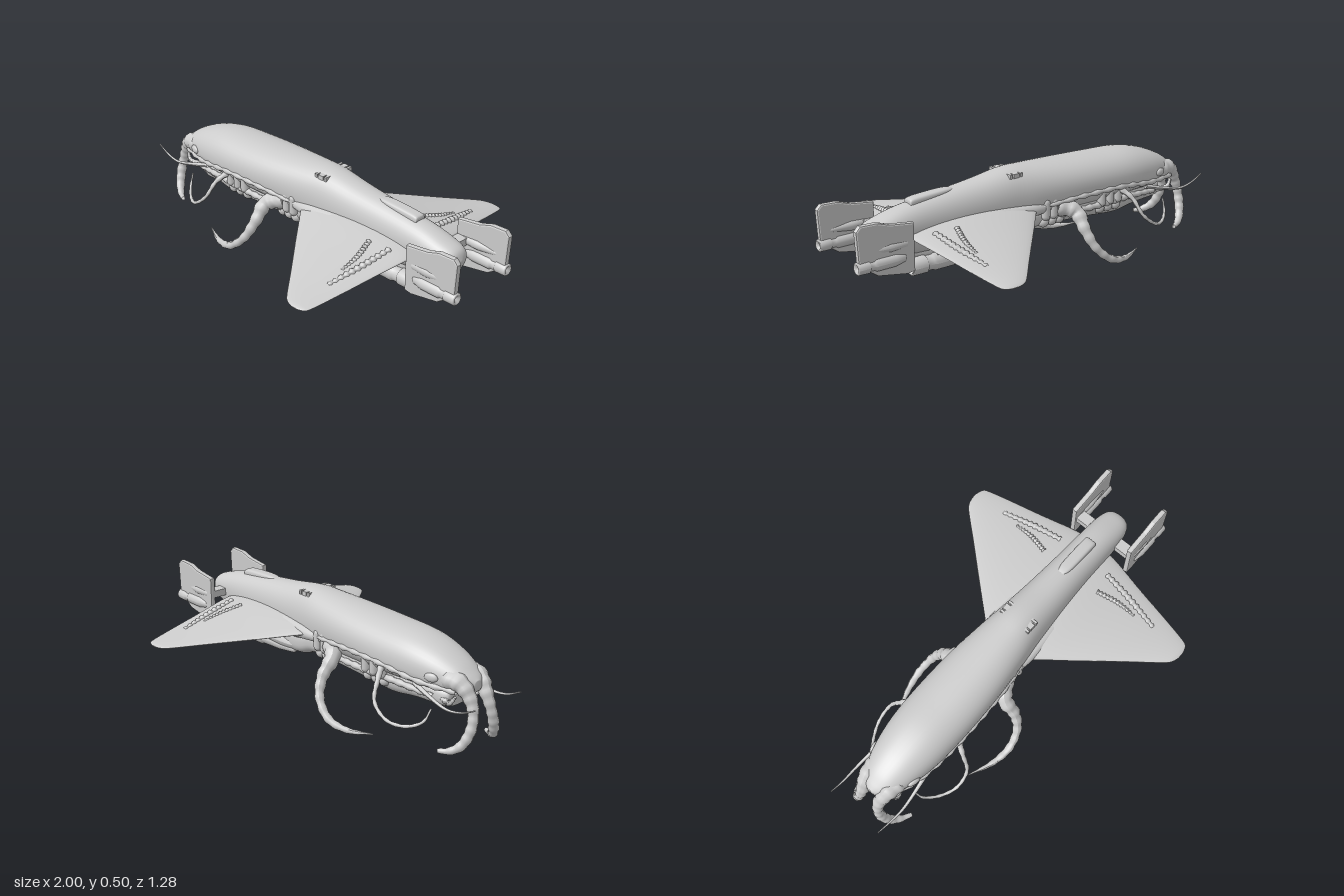
import * as THREE from 'three';

const mat = new THREE.MeshStandardMaterial({ color: 0xcccccc, roughness: 0.7, side: THREE.DoubleSide });
const V = (p) => new THREE.Vector3(...p);

// Splines every column of a section table and returns n + 1 rows
function smoothRows(rows, n) {
  const cols = rows[0].map((_, k) => new THREE.SplineCurve(rows.map((r, i) => new THREE.Vector2(i, r[k]))));
  return Array.from({ length: n + 1 }, (_, i) => cols.map((c) => c.getPoint(i / n).y));
}

// Skins closed rings of points and caps both ends
function loft(rings) {
  const m = rings[0].length, pos = rings.flat(2), idx = [];
  for (let i = 0; i < rings.length - 1; i++) {
    for (let j = 0; j < m; j++) {
      const a = i * m + j, b = i * m + (j + 1) % m;
      idx.push(a, b, a + m, b, b + m, a + m);
    }
  }
  [rings[0], rings[rings.length - 1]].forEach((r, end) => {
    const c = pos.length / 3, o = end * (rings.length - 1) * m;
    pos.push(...[0, 1, 2].map((k) => r.reduce((s, p) => s + p[k], 0) / m));
    for (let j = 0; j < m; j++) {
      const a = o + j, b = o + (j + 1) % m;
      idx.push(c, end ? a : b, end ? b : a);
    }
  });
  const g = new THREE.BufferGeometry();
  g.setAttribute('position', new THREE.Float32BufferAttribute(pos, 3));
  g.setIndex(idx);
  g.computeVertexNormals();
  return g;
}

const spow = (v, e) => Math.sign(v) * Math.abs(v) ** e;
const angles = (n) => Array.from({ length: n }, (_, i) => (i / n) * Math.PI * 2);

// Hull along x from rows of [x, half width, top, bottom, height of widest point]
const hull = (rows, n, e) => loft(smoothRows(rows, n).map(([x, w, top, bot, mid]) =>
  angles(40).map((t) => {
    const c = spow(Math.cos(t), e);
    return [x, mid + c * (c > 0 ? top - mid : mid - bot), w * spow(Math.sin(t), e)];
  })));

// Tube whose radius follows the list of radii, with optional knuckle bumps
function limb(points, radii, bump = 0) {
  const n = 56, sides = 12;
  const curve = new THREE.CatmullRomCurve3(points.map(V));
  const g = new THREE.TubeGeometry(curve, n, 1, sides);
  const rad = smoothRows(radii.map((r) => [r]), n);
  const p = g.attributes.position, v = new THREE.Vector3();
  for (let i = 0; i <= n; i++) {
    const c = curve.getPointAt(i / n);
    const r = Math.max(rad[i][0], 0.001) * (1 + bump * Math.sin(i * 1.3));
    for (let j = 0; j <= sides; j++) {
      const k = i * (sides + 1) + j;
      v.fromBufferAttribute(p, k).sub(c).multiplyScalar(r).add(c);
      p.setXYZ(k, v.x, v.y, v.z);
    }
  }
  g.computeVertexNormals();
  return g;
}

// Turned part lying along x, profile points are [x, radius]
const turned = (profile, x, y, z) => new THREE.LatheGeometry(
  profile.map(([l, r]) => new THREE.Vector2(r, l)), 24).rotateZ(-Math.PI / 2).translate(x, y, z);

const box = (w, h, d, x, y, z) => new THREE.BoxGeometry(w, h, d).translate(x, y, z);

export function createModel() {
  const model = new THREE.Group();
  const add = (name, g) => {
    const mesh = new THREE.Mesh(g, mat);
    mesh.name = name;
    model.add(mesh);
  };
  // Adds a part and its reflection across the centre plane
  const pair = (name, g) => {
    add(name + 'Left', g);
    const f = g.clone().scale(1, 1, -1);
    const src = f.index ? Array.from(f.index.array) : Array.from({ length: f.attributes.position.count }, (_, i) => i);
    for (let i = 0; i < src.length; i += 3) [src[i + 1], src[i + 2]] = [src[i + 2], src[i + 1]];
    f.setIndex(src);
    f.computeVertexNormals();
    add(name + 'Right', f);
  };

  // Upper shell, from head to rounded tail
  add('shell', hull([
    [-0.89, 0.02, 0.335, 0.29, 0.31], [-0.86, 0.07, 0.36, 0.27, 0.31], [-0.8, 0.1, 0.4, 0.26, 0.32],
    [-0.7, 0.13, 0.442, 0.25, 0.33], [-0.57, 0.15, 0.47, 0.25, 0.34], [-0.4, 0.156, 0.478, 0.24, 0.35],
    [-0.2, 0.15, 0.486, 0.23, 0.36], [0, 0.132, 0.495, 0.21, 0.36], [0.13, 0.117, 0.498, 0.2, 0.35],
    [0.3, 0.104, 0.474, 0.19, 0.34], [0.5, 0.093, 0.452, 0.19, 0.33], [0.68, 0.086, 0.43, 0.21, 0.33],
    [0.8, 0.078, 0.4, 0.245, 0.33], [0.86, 0.055, 0.375, 0.28, 0.33], [0.88, 0.006, 0.335, 0.325, 0.33],
  ], 90, 0.9));
  // Belly under the shell
  add('belly', hull([
    [-0.785, 0.05, 0.26, 0.2, 0.23], [-0.76, 0.075, 0.28, 0.187, 0.23], [-0.6, 0.105, 0.3, 0.18, 0.25],
    [-0.47, 0.115, 0.3, 0.163, 0.25], [-0.3, 0.12, 0.3, 0.178, 0.26], [-0.1, 0.12, 0.3, 0.192, 0.26],
    [0.05, 0.11, 0.3, 0.19, 0.26], [0.18, 0.09, 0.28, 0.15, 0.22], [0.4, 0.07, 0.26, 0.14, 0.2],
    [0.6, 0.05, 0.25, 0.17, 0.21], [0.7, 0.02, 0.25, 0.22, 0.235],
  ], 60, 0.75));

  // Wings: lens sections of [z, leading x, trailing x, height, half thickness]
  const wingRows = smoothRows([
    [0.06, -0.03, 0.7, 0.312, 0.045], [0.14, 0.05, 0.69, 0.306, 0.038], [0.3, 0.19, 0.66, 0.283, 0.025],
    [0.48, 0.35, 0.63, 0.257, 0.014], [0.6, 0.455, 0.607, 0.24, 0.009], [0.63, 0.49, 0.592, 0.236, 0.006],
    [0.642, 0.525, 0.56, 0.234, 0.002],
  ], 36);
  pair('wing', loft(wingRows.map(([z, a, b, y, h]) => angles(32).map((t) =>
    [(a + b) / 2 + Math.cos(t) * (b - a) / 2, y + h * spow(Math.sin(t), 1.3), z]))));
  // Raised ribs along the rear of each wing
  pair('wingRib', limb([[0.6, 0.327, 0.14], [0.585, 0.302, 0.28], [0.555, 0.268, 0.46]], [0.012, 0.014, 0.01], 0.3));
  pair('wingFlap', limb([[0.5, 0.335, 0.16], [0.53, 0.307, 0.27], [0.535, 0.288, 0.36]], [0.01, 0.011, 0.007], 0.3));
  // Blended strake between flank and wing root
  pair('strake', limb([[-0.14, 0.3, 0.1], [0.05, 0.305, 0.115], [0.3, 0.3, 0.1], [0.6, 0.29, 0.07]],
    [0.015, 0.035, 0.05, 0.02]));

  // Dorsal hump and paired vents
  add('dorsalHump', hull([[0.4, 0.01, 0.455, 0.43, 0.44], [0.46, 0.028, 0.466, 0.42, 0.44],
    [0.62, 0.03, 0.459, 0.41, 0.43], [0.645, 0.026, 0.445, 0.41, 0.43]], 16, 0.5));
  for (const [dx, w] of [[-0.028, 0.012], [0.028, 0.012], [0, 0.03]]) {
    pair('dorsalVent', box(w, 0.02, 0.03, 0.12 + dx, 0.474, 0.068).applyMatrix4(new THREE.Matrix4()));
  }

  // Tail fins on a cross strut, each carrying a thruster
  const fin = new THREE.Shape([[0.73, 0.205], [0.76, 0.2], [0.9, 0.225], [0.985, 0.285], [0.992, 0.43],
    [0.975, 0.448], [0.9, 0.445], [0.84, 0.425], [0.73, 0.41]].map((p) => new THREE.Vector2(...p)));
  pair('tailFin', new THREE.ExtrudeGeometry(fin, {
    depth: 0.01, bevelThickness: 0.009, bevelSize: 0.007, bevelSegments: 2 }).translate(0, 0, 0.16));
  pair('finThruster', turned([[0, 0], [0.01, 0.02], [0.06, 0.03], [0.15, 0.03], [0.16, 0.024], [0.18, 0.024],
    [0.185, 0.029], [0.235, 0.028], [0.24, 0.02], [0.22, 0]], 0.76, 0.27, 0.165));
  pair('finPod', turned([[0, 0], [0.02, 0.02], [0.1, 0.024], [0.2, 0.012], [0.22, 0]], 0.74, 0.33, 0.162));
  add('finStrut', box(0.055, 0.035, 0.32, 0.757, 0.328, 0));

  // Engine tubes under the rear hull
  pair('engineTube', turned([[0, 0], [0.02, 0.018], [0.12, 0.03], [0.24, 0.033], [0.25, 0.04], [0.36, 0.04],
    [0.37, 0.034], [0.4, 0.034], [0.405, 0.04], [0.475, 0.039], [0.48, 0.028], [0.44, 0.022], [0.44, 0]],
  0.2, 0.162, 0.058));
  pair('engineFairing', limb([[0.08, 0.2, 0.06], [0.25, 0.19, 0.06], [0.55, 0.2, 0.05]], [0.01, 0.035, 0.03]));

  // Shoulder blocks where the limbs join the flanks
  for (const x of [-0.45, -0.4, -0.35, -0.11, -0.065, -0.02]) {
    const z = x < -0.2 ? 0.128 : 0.118;
    pair('shoulderBlock', new THREE.CapsuleGeometry(0.022, 0.065, 6, 12).translate(x, 0.295, z));
    pair('bellyKnuckle', new THREE.SphereGeometry(0.028, 14, 10).translate(x, 0.23, z - 0.02));
  }
  // Flank seam and cables
  pair('shellSeam', limb([[-0.84, 0.29, 0.08], [-0.68, 0.3, 0.125], [-0.45, 0.325, 0.15], [-0.2, 0.325, 0.145],
    [0.03, 0.31, 0.125]], [0.012, 0.014, 0.012, 0.012, 0.008], 0.25));
  pair('flankCable', limb([[-0.72, 0.235, 0.09], [-0.55, 0.25, 0.115], [-0.3, 0.25, 0.125], [-0.1, 0.25, 0.12]],
    [0.012, 0.015, 0.015, 0.012], 0.15));
  // Eyes on the head
  pair('eye', new THREE.SphereGeometry(0.025, 16, 12).scale(1.3, 0.8, 0.5).rotateY(-0.25).translate(-0.735, 0.335, 0.121));

  // Curved mandibles at the nose
  pair('mandible', limb([[-0.74, 0.325, 0.075], [-0.84, 0.325, 0.06], [-0.9, 0.255, 0.05], [-0.922, 0.16, 0.065],
    [-0.9, 0.075, 0.1], [-0.86, 0.045, 0.13], [-0.815, 0.038, 0.152]],
  [0.04, 0.042, 0.032, 0.024, 0.024, 0.02, 0.01], 0.06));
  // Heavy claws amidships
  pair('claw', limb([[-0.1, 0.29, 0.11], [-0.165, 0.265, 0.16], [-0.17, 0.19, 0.225], [-0.2, 0.11, 0.268],
    [-0.28, 0.04, 0.288], [-0.38, 0.016, 0.272], [-0.5, 0.022, 0.225]],
  [0.04, 0.036, 0.026, 0.02, 0.018, 0.012, 0.003], 0.08));
  // Slender forelimbs curling forward
  pair('forelimb', limb([[-0.46, 0.31, 0.14], [-0.49, 0.27, 0.19], [-0.52, 0.19, 0.238], [-0.6, 0.13, 0.242],
    [-0.68, 0.118, 0.205], [-0.735, 0.145, 0.16], [-0.75, 0.2, 0.13]],
  [0.016, 0.011, 0.009, 0.008, 0.008, 0.007, 0.004], 0.1));
  // Whisker antennae
  pair('antenna', limb([[-0.64, 0.28, 0.12], [-0.74, 0.255, 0.135], [-0.85, 0.235, 0.145], [-0.93, 0.247, 0.143],
    [-1, 0.28, 0.142]], [0.012, 0.009, 0.007, 0.005, 0.003]));
  // Small mouth feelers
  pair('feeler', limb([[-0.7, 0.25, 0.06], [-0.78, 0.225, 0.07], [-0.82, 0.24, 0.09], [-0.84, 0.27, 0.085]],
    [0.016, 0.014, 0.012, 0.008], 0.1));

  return model;
}
